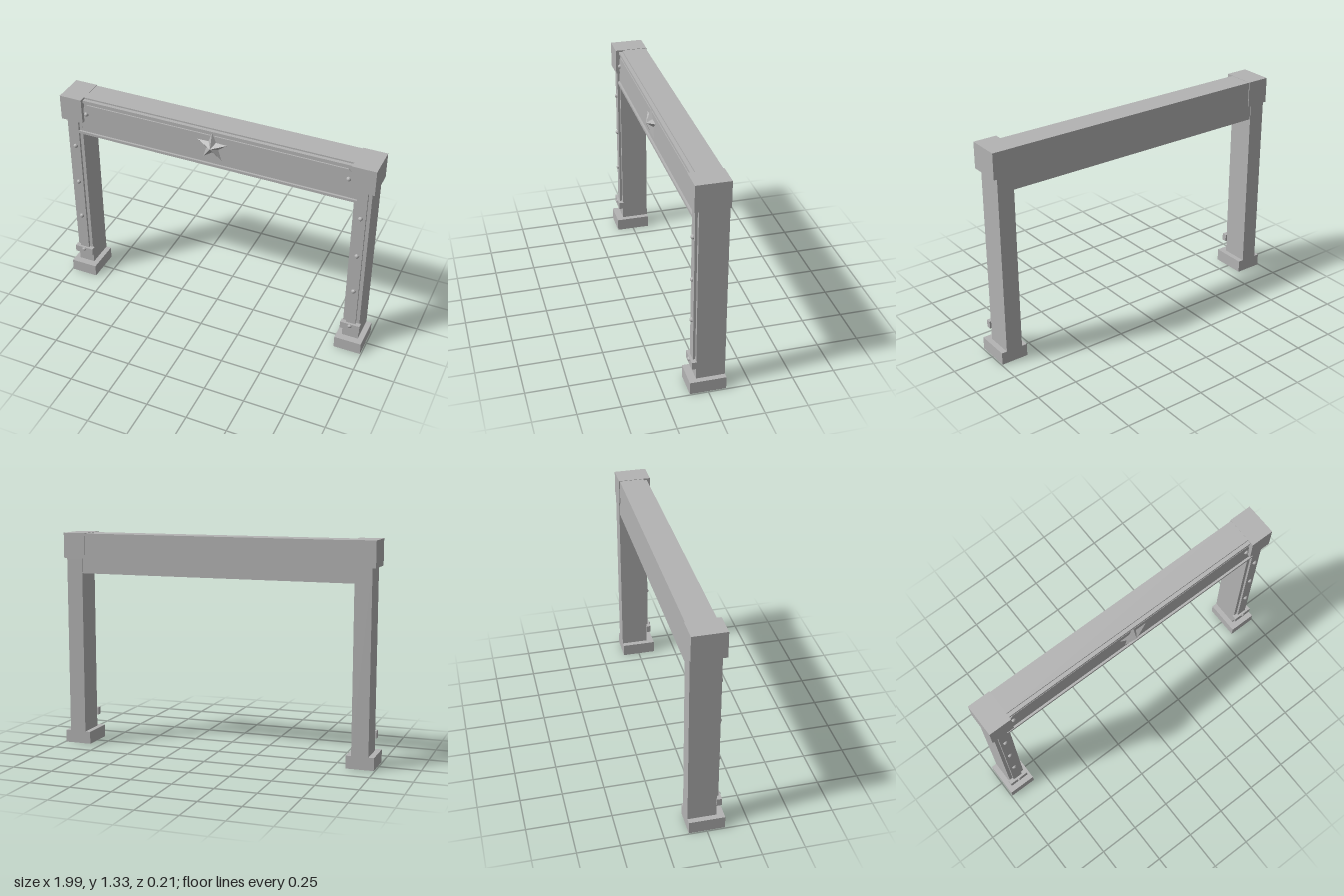
import * as THREE from 'three';

const stone = new THREE.MeshStandardMaterial({ color: 0xb3b3b3 });
stone.name = 'plainGrey';
stone.flatShading = true;

function add(parent, name, geometry) {
  const mesh = new THREE.Mesh(geometry, stone);
  mesh.name = name;
  parent.add(mesh);
  return mesh;
}

// Box given by its extents on each axis
function block(parent, name, x0, x1, y0, y1, z0, z1) {
  const mesh = add(parent, name, new THREE.BoxGeometry(x1 - x0, y1 - y0, z1 - z0));
  mesh.position.set((x0 + x1) / 2, (y0 + y1) / 2, (z0 + z1) / 2);
  return mesh;
}

// Low dome lying on a front face
function rivet(parent, x, y, z) {
  const geometry = new THREE.SphereGeometry(0.014, 10, 4, 0, Math.PI * 2, 0, Math.PI / 2);
  geometry.rotateX(Math.PI / 2);
  const mesh = add(parent, 'rivet', geometry);
  mesh.position.set(x, y, z);
}

// Five-pointed star with a raised centre
function starGeometry(outer, inner, depth) {
  const positions = [];
  const point = (i) => {
    const a = Math.PI / 2 + (i * Math.PI) / 5;
    const r = i % 2 ? inner : outer;
    return [Math.cos(a) * r, Math.sin(a) * r, 0];
  };
  for (let i = 0; i < 10; i++) {
    positions.push(0, 0, depth, ...point(i), ...point(i + 1));
    positions.push(0, 0, 0, ...point(i + 1), ...point(i));
  }
  const geometry = new THREE.BufferGeometry();
  geometry.setAttribute('position', new THREE.Float32BufferAttribute(positions, 3));
  geometry.computeVertexNormals();
  return geometry;
}

// Post with foot, cap, riveted strip and clamp
function post(side) {
  const g = new THREE.Group();
  g.name = side > 0 ? 'leftPost' : 'rightPost';
  block(g, 'foot', -0.084, 0.084, 0, 0.077, -0.106, 0.107);
  block(g, 'column', -0.051, 0.051, 0.077, 1.17, -0.106, 0.063);
  block(g, 'cap', -0.071, 0.071, 1.17, 1.327, -0.107, 0.093);
  block(g, 'frontStrip', -0.03, 0.03, 0.17, 1.17, 0.06, 0.077);
  block(g, 'clamp', -0.061, 0.061, 0.152, 0.198, 0.06, 0.091);
  for (const y of [0.45, 0.715, 0.982]) rivet(g, 0, y, 0.077);
  rivet(g, 0, 0.183, 0.086);
  g.position.x = side * 0.909;
  return g;
}

export function createModel() {
  const model = new THREE.Group();
  model.name = 'gateway';
  for (const side of [-1, 1]) model.add(post(side));

  // Crossbeam with stepped front face and rails
  const beam = new THREE.Group();
  beam.name = 'crossbeam';
  model.add(beam);
  block(beam, 'beamBody', -0.86, 0.86, 1.08, 1.325, -0.102, 0.05);
  block(beam, 'beamFace', -0.86, 0.86, 1.088, 1.308, 0.04, 0.062);
  block(beam, 'topRail', -0.86, 0.86, 1.3, 1.316, 0.04, 0.072);
  block(beam, 'bottomRail', -0.88, 0.88, 1.08, 1.096, 0.04, 0.075);

  // Panel with clipped corners
  const w = 0.85, y0 = 1.133, y1 = 1.287, c = 0.035;
  const outline = [
    [-w + c, y0], [w - c, y0], [w, y0 + c], [w, y1 - c],
    [w - c, y1], [-w + c, y1], [-w, y1 - c], [-w, y0 + c],
  ].map(([x, y]) => new THREE.Vector2(x, y));
  const panel = add(beam, 'panel', new THREE.ExtrudeGeometry(
    new THREE.Shape(outline), { depth: 0.01, bevelEnabled: false }));
  panel.position.z = 0.06;
  for (const side of [-1, 1]) rivet(beam, side * 0.82, 1.225, 0.07);

  const star = add(beam, 'star', starGeometry(0.097, 0.039, 0.034));
  star.position.set(0, 1.215, 0.07);
  return model;
}
